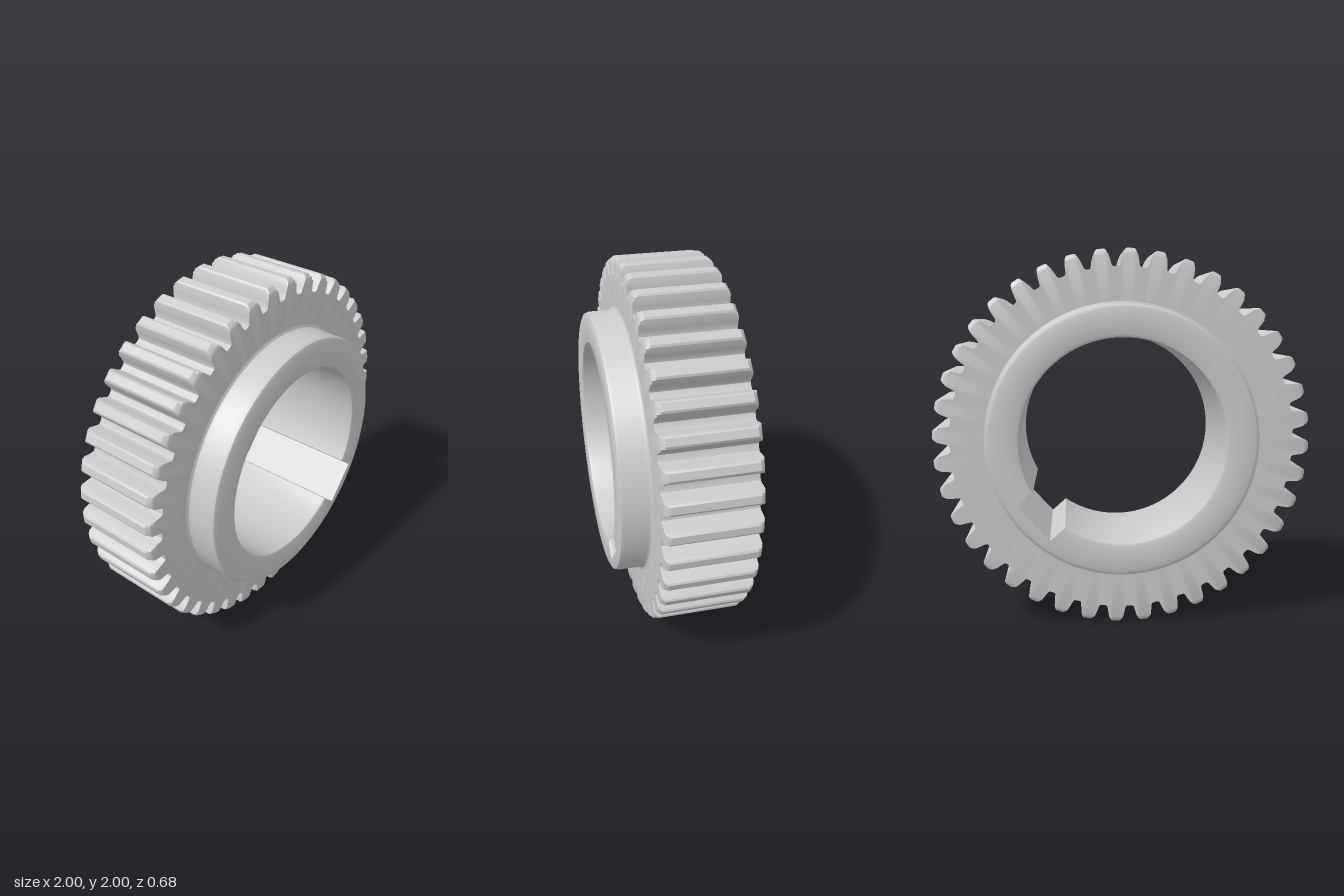
import * as THREE from 'three';
import { toCreasedNormals } from 'three/addons/utils/BufferGeometryUtils.js';

// Sweeps a section of rows around z. Each point is [angle, radius];
// each row maps that radius to [radius, z]. Rows run back to front outside.
function loft(points, rows, closed) {
  const pos = [], idx = [], n = points.length, m = rows.length;
  for (const [t, r] of points) {
    for (const row of rows) {
      const [q, z] = row(r);
      pos.push(q * Math.cos(t), q * Math.sin(t), z);
    }
  }
  for (let i = 0; i < n; i++) {
    const k = (i + 1) % n;
    for (let j = 0; j < (closed ? m : m - 1); j++) {
      const l = (j + 1) % m;
      const a = i * m + j, b = k * m + j, c = k * m + l, d = i * m + l;
      idx.push(a, b, c, a, c, d);
    }
  }
  const g = new THREE.BufferGeometry();
  g.setAttribute('position', new THREE.Float32BufferAttribute(pos, 3));
  g.setIndex(idx);
  return toCreasedNormals(g, 0.55);
}

// Outline of the toothed ring
function toothOutline() {
  const teeth = 40, pitch = (2 * Math.PI) / teeth;
  const half = [[-0.06, 0.907], [-0.053, 0.916], [-0.046, 0.945], [-0.039, 0.97], [-0.029, 0.993], [-0.019, 1]];
  const tooth = [...half, ...half.map(([t, r]) => [-t, r]).reverse()];
  const pts = [];
  for (let i = 0; i < teeth; i++) {
    const mid = (i + 0.25) * pitch;
    for (const [t, r] of tooth) pts.push([mid + t, r]);
    pts.push([mid + pitch / 2, 0.905]);
  }
  return pts;
}

// Outline of the bore with its keyway
function boreOutline() {
  const bore = 0.545, halfKey = 0.125, depth = 0.64, mid = THREE.MathUtils.degToRad(-42.2);
  const edge = Math.asin(halfKey / bore), corner = Math.atan(halfKey / depth);
  const pts = [];
  for (let i = 0; i <= 8; i++) {
    const t = -corner + (2 * corner * i) / 8;
    pts.push([mid + t, depth / Math.cos(t)]);
  }
  for (let i = 0; i <= 110; i++) {
    pts.push([mid + edge + ((2 * Math.PI - 2 * edge) * i) / 110, bore]);
  }
  return pts;
}

export function createModel() {
  const group = new THREE.Group();
  group.name = 'gear';
  const material = new THREE.MeshStandardMaterial({ color: 0xcccccc });
  const add = (name, geometry) => {
    const mesh = new THREE.Mesh(geometry, material);
    mesh.name = name;
    mesh.position.y = 1;
    group.add(mesh);
  };

  // Toothed ring, with the tooth tips rounded off at both ends
  const back = -0.3, front = 0.18;
  const tip = (limit, z) => (r) => [Math.min(r, limit), z];
  add('toothedRing', loft(toothOutline(), [
    () => [0.7, back],
    tip(0.97, back), tip(0.985, back + 0.006), tip(1, back + 0.025),
    tip(1, front - 0.025), tip(0.985, front - 0.006), tip(0.97, front),
    () => [0.7, front],
  ], false));

  // Hub with rounded rims, small fillets against the ring, and keyed bore
  const at = (r, z) => () => [r, z];
  const inner = (limit, z) => (r) => [Math.max(r, limit), z];
  add('hub', loft(boreOutline(), [
    at(0.695, -0.34), at(0.709, -0.335), at(0.715, -0.322),
    at(0.715, -0.312), at(0.72, -0.304), at(0.73, back),
    at(0.735, front), at(0.721, 0.186), at(0.715, 0.2),
    at(0.715, 0.315), at(0.708, 0.332), at(0.69, 0.34),
    inner(0.562, 0.34), inner(0.55, 0.335), inner(0, 0.323),
    inner(0, -0.323), inner(0.55, -0.335), inner(0.562, -0.34),
  ], true));

  return group;
}
